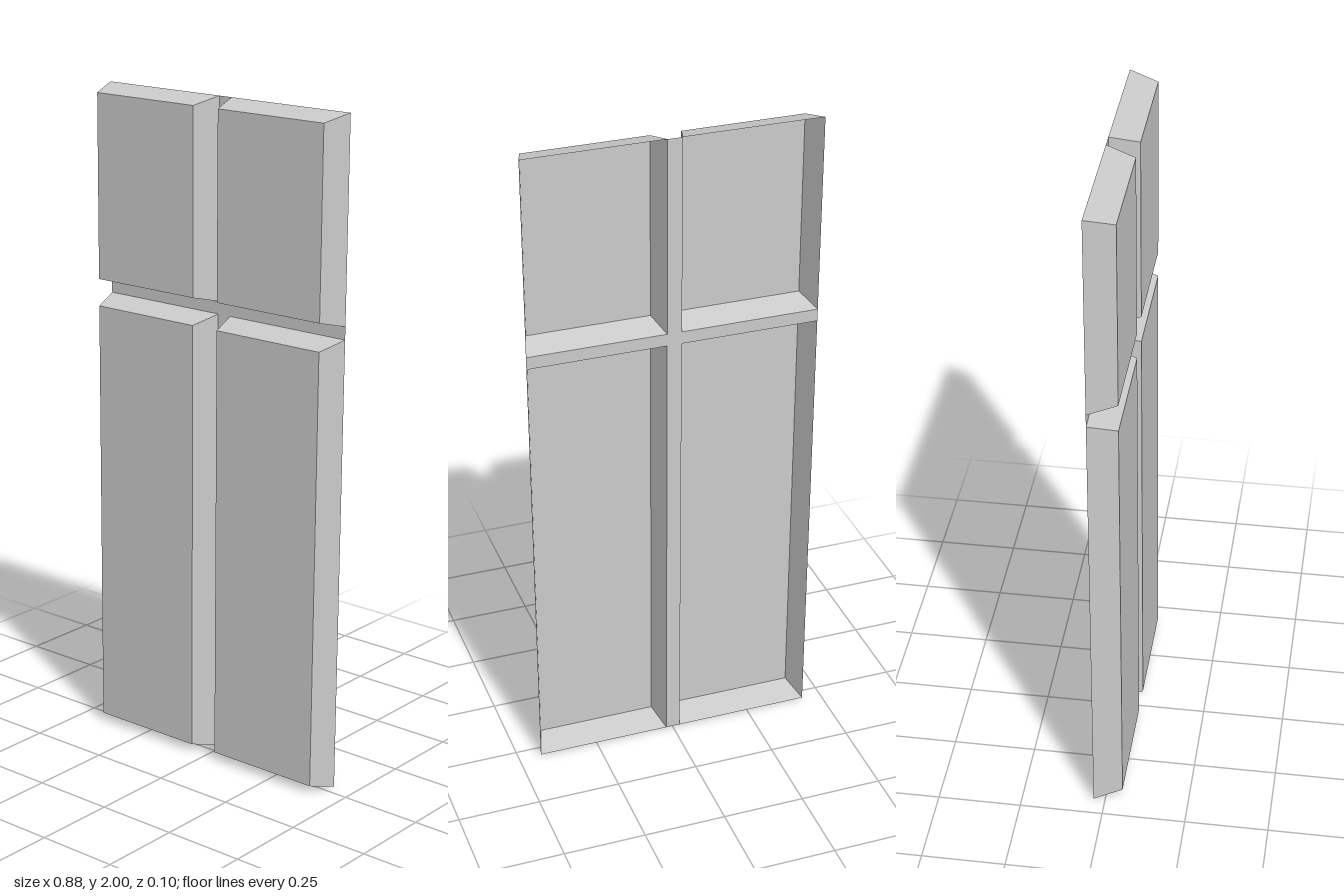
import * as THREE from 'three';

const material = new THREE.MeshStandardMaterial({
  color: 0xcccccc, flatShading: true, side: THREE.DoubleSide,
});

// The panel leans back very slightly: depth depends on height
const backZ = (y) => -0.035 - 0.0075 * y;
const frontZ = (y) => 0.05 - 0.0075 * y;

// Four corners of a rectangle, counter-clockwise from the front
const corners = ([x0, x1, y0, y1], depth) =>
  [[x0, y0], [x1, y0], [x1, y1], [x0, y1]].map(([x, y]) => {
    // the outer right edge tapers a little towards the bottom
    const px = x > 0.4 ? x - 0.0035 * (2 - y) : x;
    return new THREE.Vector3(px, y, depth(y));
  });

function quadMesh(name, quads) {
  const points = quads.flatMap(([a, b, c, d]) => [a, b, c, a, c, d]);
  const geometry = new THREE.BufferGeometry().setFromPoints(points);
  geometry.computeVertexNormals();
  const mesh = new THREE.Mesh(geometry, material);
  mesh.name = name;
  return mesh;
}

// Raised tray with bevelled sides and an open back
function tray(name, back, front) {
  const b = corners(back, backZ);
  const f = corners(front, frontZ);
  const sides = b.map((p, i) => {
    const j = (i + 1) % 4;
    return [p, b[j], f[j], f[i]];
  });
  return quadMesh(name, [f, ...sides]);
}

export function createModel() {
  const group = new THREE.Group();
  group.name = 'panelledDoor';

  const columns = [
    { side: 'Right', back: [-0.44, -0.024], front: [-0.415, -0.049] },
    { side: 'Left', back: [0.02, 0.438], front: [0.041, 0.412] },
  ];
  const rows = [
    { level: 'lower', back: [0, 1.365], front: [0.025, 1.343] },
    { level: 'upper', back: [1.403, 2], front: [1.425, 1.98] },
  ];
  for (const c of columns) {
    for (const r of rows) {
      group.add(tray(`${r.level}${c.side}Panel`, [...c.back, ...r.back], [...c.front, ...r.front]));
    }
  }

  // Thin strips joining the trays at the back
  group.add(quadMesh('verticalStrip', [corners([-0.024, 0.02, 0, 2], backZ)]));
  group.add(quadMesh('crossStrips', [
    corners([-0.44, -0.024, 1.365, 1.403], backZ),
    corners([0.02, 0.438, 1.365, 1.403], backZ),
  ]));
  return group;
}
